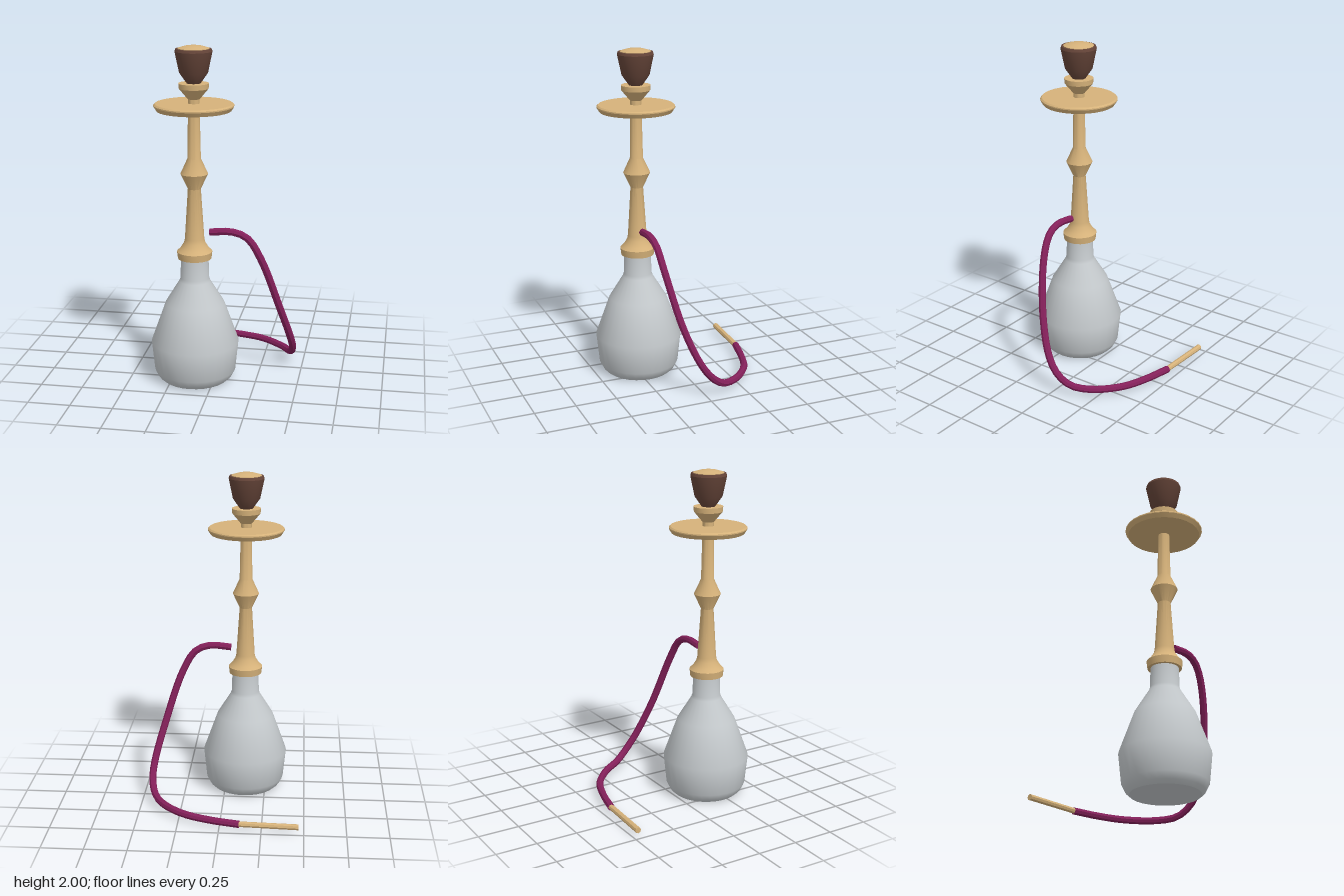
import * as THREE from 'three';
import { toCreasedNormals } from 'three/addons/utils/BufferGeometryUtils.js';

const mat = (name, color) => Object.assign(new THREE.MeshStandardMaterial({ color }), { name });

export function createModel() {
  const glass = mat('grey glass', 0xc6cbce);
  const brass = mat('pale brass', 0xd6b27a);
  const clay = mat('brown clay', 0x664539);
  const fabric = mat('plum fabric', 0x84205a);

  const model = new THREE.Group();
  const column = new THREE.Group();
  column.name = 'column';
  column.position.set(-0.12, 0, 0.22);
  model.add(column);

  const add = (parent, name, geometry, material, crease) => {
    const mesh = new THREE.Mesh(toCreasedNormals(geometry, crease), material);
    mesh.name = name;
    parent.add(mesh);
    return mesh;
  };
  // Turned part: [radius, height] pairs from bottom to top
  const turned = (name, profile, material, crease = 0.5) =>
    add(column, name, new THREE.LatheGeometry(profile.map(([r, y]) => new THREE.Vector2(r, y)), 28), material, crease);

  turned('base', [[0, 0], [0.2, 0], [0.222, 0.02], [0.243, 0.06], [0.261, 0.235], [0.175, 0.475],
    [0.092, 0.61], [0.085, 0.63], [0.081, 0.76]], glass, 0.7);
  turned('stem', [[0, 0.75], [0.099, 0.75], [0.104, 0.792], [0.085, 0.81], [0.063, 0.845], [0.057, 0.87],
    [0.038, 1.17], [0.08, 1.26], [0.039, 1.35], [0.033, 1.66], [0.033, 1.72]], brass);
  turned('tray', [[0, 1.63], [0.215, 1.63], [0.231, 1.655], [0.231, 1.662], [0.222, 1.67], [0, 1.67]], brass);
  turned('bowlHolder', [[0, 1.695], [0.035, 1.695], [0.085, 1.755], [0.087, 1.785], [0, 1.785]], brass);
  turned('bowl', [[0, 1.78], [0.04, 1.785], [0.082, 1.845], [0.107, 1.965], [0.102, 1.98], [0, 1.98]], clay);
  turned('bowlCover', [[0.09, 1.979], [0.09, 1.983], [0.05, 1.995], [0, 2]], brass);

  // Hose: drops from the stem, curls along the floor towards the back
  const path = new THREE.CatmullRomCurve3([
    [-0.03, 0.912, 0.22], [0.1, 0.92, 0.222], [0.19, 0.885, 0.217], [0.27, 0.755, 0.2],
    [0.375, 0.44, 0.13], [0.435, 0.215, 0.04], [0.443, 0.12, -0.03], [0.42, 0.062, -0.11],
    [0.36, 0.045, -0.22], [0.22, 0.04, -0.345], [0.06, 0.036, -0.407], [-0.12, 0.035, -0.451],
  ].map(p => new THREE.Vector3(...p)));
  add(model, 'hose', new THREE.TubeGeometry(path, 40, 0.022, 8), fabric, 0.6);

  // Caps on both hose ends
  for (const [t, sign] of [[0, -1], [1, 1]]) {
    const cap = add(model, 'hoseEnd', new THREE.CircleGeometry(0.022, 8), fabric, 0.6);
    cap.position.copy(path.getPointAt(t));
    cap.lookAt(cap.position.clone().addScaledVector(path.getTangentAt(t), sign));
  }

  // Mouthpiece lying on the floor
  const start = new THREE.Vector3(-0.115, 0.036, -0.45);
  const end = new THREE.Vector3(-0.469, 0.036, -0.467);
  const dir = end.clone().sub(start);
  const mouthpiece = add(model, 'mouthpiece', new THREE.CylinderGeometry(0.018, 0.017, dir.length(), 8), brass, 0.6);
  mouthpiece.position.copy(start).add(end).multiplyScalar(0.5);
  mouthpiece.quaternion.setFromUnitVectors(new THREE.Vector3(0, 1, 0), dir.normalize());

  return model;
}
